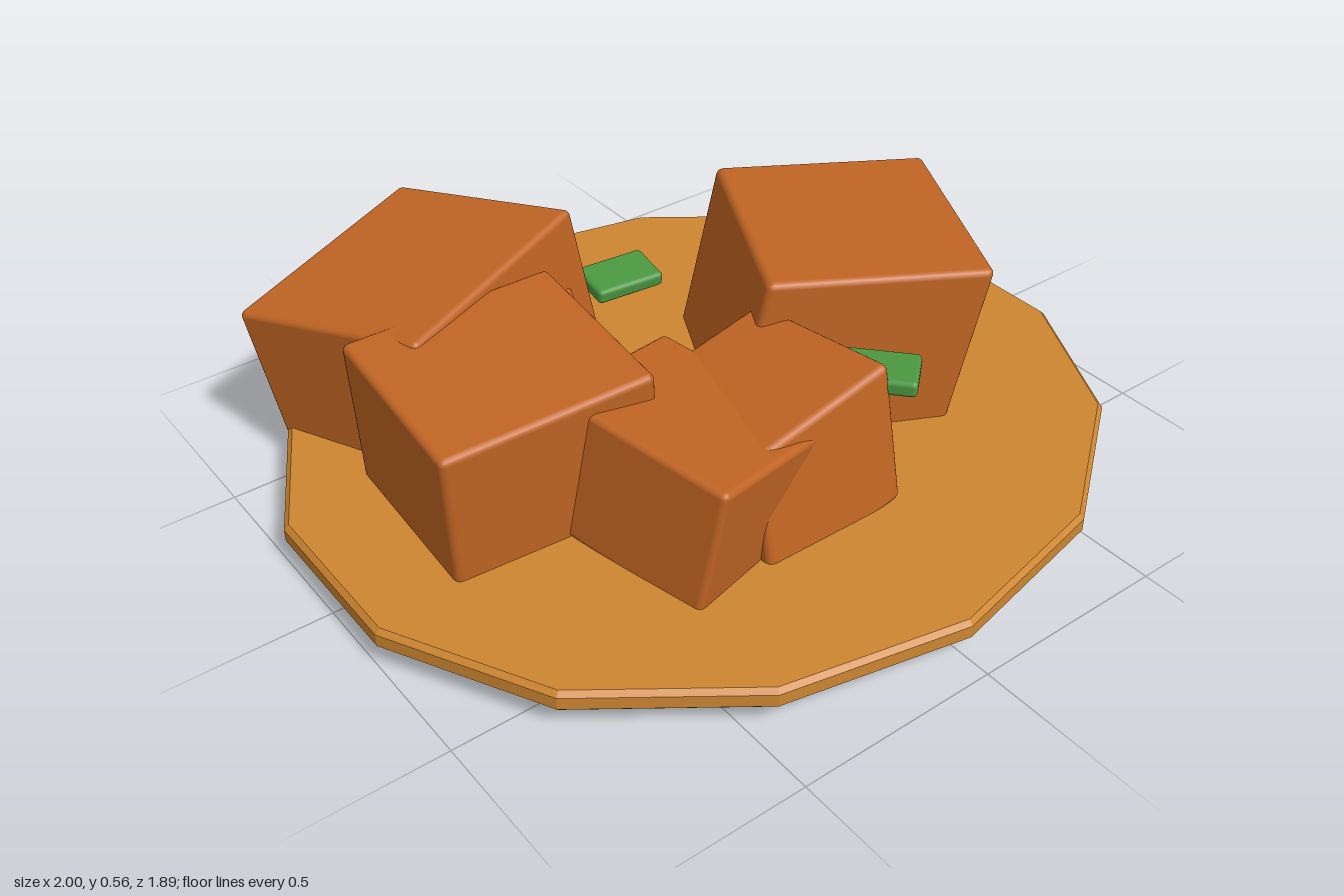
import * as THREE from 'three';
import { RoundedBoxGeometry } from 'three/addons/geometries/RoundedBoxGeometry.js';

const plateMat = new THREE.MeshStandardMaterial({ color: 0xcd8530 });
plateMat.name = 'ochre plate';
const chunkMat = new THREE.MeshStandardMaterial({ color: 0xc06423 });
chunkMat.name = 'orange brown chunk';
const leafMat = new THREE.MeshStandardMaterial({ color: 0x4a9640 });
leafMat.name = 'green garnish';

// Bevelled block spanned by three edge vectors: across, up and forward
function block(name, material, bevel, center, across, up, forward) {
  const [a, u, f] = [across, up, forward].map((v) => new THREE.Vector3(...v));
  const geometry = new RoundedBoxGeometry(a.length(), u.length(), f.length(), 2, bevel);
  const matrix = new THREE.Matrix4().makeBasis(a.normalize(), u.normalize(), f.normalize());
  geometry.applyMatrix4(matrix.setPosition(...center));
  const mesh = new THREE.Mesh(geometry, material);
  mesh.name = name;
  return mesh;
}

// Slightly oval fourteen-sided plate with bevelled rim
function plate() {
  const profile = [[0, 0.05], [1.014, 0.05], [1.026, 0.062], [1.026, 0.093], [1.014, 0.105], [0, 0.105]]
    .map(([r, y]) => new THREE.Vector2(r, y));
  const geometry = new THREE.LatheGeometry(profile, 14).toNonIndexed();
  geometry.scale(1, 1, 0.92);
  geometry.computeVertexNormals();
  const mesh = new THREE.Mesh(geometry, plateMat);
  mesh.name = 'plate';
  return mesh;
}

export function createModel() {
  const model = new THREE.Group();
  model.name = 'plateOfChunks';
  model.add(plate());

  // Food chunks: name, centre, across, up, forward
  const chunks = [
    ['rightChunk', [0.383, 0.295, 0.033], [0.485, -0.025, 0.24], [0.085, 0.45, 0.04], [-0.25, -0.005, 0.51]],
    ['backLeftChunk', [-0.475, 0.295, -0.437], [0.54, 0.07, -0.192], [-0.065, 0.41, -0.03], [0.215, 0.06, 0.45]],
    ['leftChunk', [-0.53, 0.265, -0.015], [0.515, 0.02, 0.035], [-0.03, 0.43, 0.03], [-0.025, -0.035, 0.465]],
    ['buriedChunk', [-0.295, 0.207, -0.38], [0.3, 0.035, 0.15], [-0.04, 0.31, 0.04], [-0.15, -0.08, 0.43]],
    ['frontLeftChunk', [-0.275, 0.233, 0.3], [0.375, -0.05, -0.1], [0.05, 0.33, 0.03], [0.105, -0.035, 0.475]],
    ['frontChunk', [-0.06, 0.228, 0.335], [0.38, 0.08, -0.01], [-0.02, 0.35, -0.05], [0.04, 0.03, 0.4]],
  ];
  for (const [name, ...frame] of chunks) model.add(block(name, chunkMat, 0.016, ...frame));

  // Green garnish pieces
  model.add(
    block('frontGarnish', leafMat, 0.012, [0.16, 0.4, 0.455], [0.085, 0.01, -0.075], [0, 0.04, 0], [0.11, 0.01, 0.145]),
    block('backGarnish', leafMat, 0.012, [0.104, 0.215, -0.468], [0.19, 0, 0.018], [0, 0.04, 0.006], [-0.01, -0.015, 0.125]),
  );
  return model;
}
